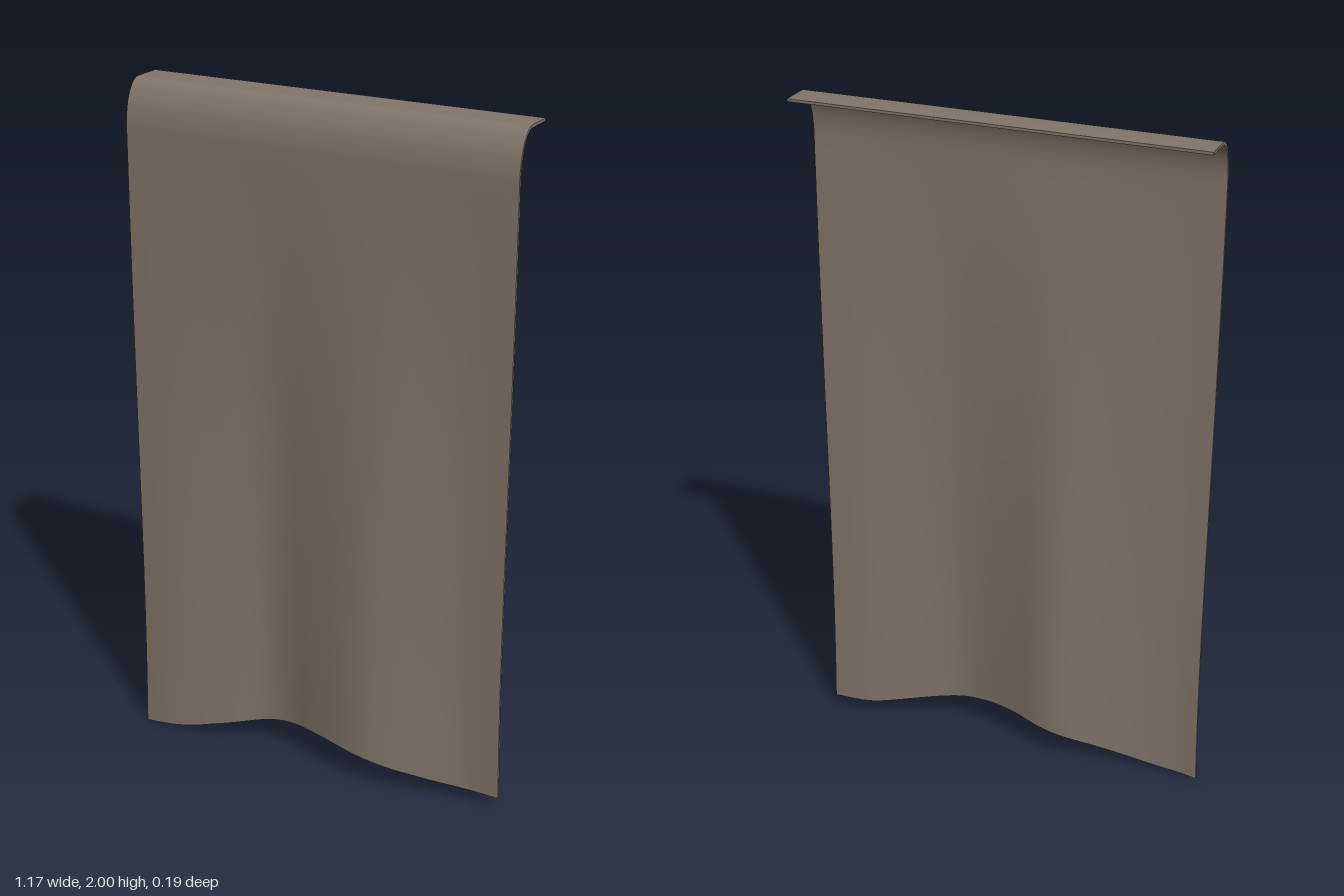
import * as THREE from 'three';
import { toCreasedNormals } from 'three/addons/utils/BufferGeometryUtils.js';

const COLS = 56, DROP_ROWS = 28, BEND_ROWS = 12;
const HALF_WIDTH = 0.585, HALF_THICK = 0.004;
const FRONT_Z = 0.051, TOP_Y = 1.996, BEND_Y = 1.87;

// Smooth function through a few [x, value] points
function spline(points) {
  const curve = new THREE.CatmullRomCurve3(points.map(([x, v]) => new THREE.Vector3(x, v, 0)));
  const samples = curve.getPoints(300);
  return (x) => {
    let i = 1;
    while (i < samples.length - 1 && samples[i].x < x) i++;
    const a = samples[i - 1], b = samples[i];
    return THREE.MathUtils.lerp(a.y, b.y, THREE.MathUtils.clamp((x - a.x) / (b.x - a.x), 0, 1));
  };
}

// Depth of the folds and height of the cloth along its lower hem
const hemDepth = spline([[-0.585, 0.073], [-0.52, 0.075], [-0.42, 0.066], [-0.3, 0.043], [-0.17, 0.012],
  [-0.1, 0.017], [0, 0.05], [0.1, 0.077], [0.18, 0.086], [0.26, 0.076], [0.35, 0.052], [0.47, 0.02], [0.585, 0.015]]);
const hemHeight = spline([[-0.585, 0.004], [-0.45, 0.021], [-0.33, 0.05], [-0.15, 0.094],
  [0.02, 0.112], [0.15, 0.102], [0.3, 0.075], [0.45, 0.05], [0.585, 0.045]]);

// Side profile: flat top flap, rounded bend, then the hanging drop
function buildProfile() {
  const rows = [{ z: -0.096, y: TOP_Y, ny: 1, nz: 0, t: 0 }, { z: -0.05, y: TOP_Y, ny: 1, nz: 0, t: 0 }];
  const rz = 0.063, ry = TOP_Y - BEND_Y;
  for (let i = 0; i <= BEND_ROWS; i++) {
    const a = (i / BEND_ROWS) * Math.PI / 2;
    const n = new THREE.Vector2(Math.sin(a) / rz, Math.cos(a) / ry).normalize();
    rows.push({ z: FRONT_Z - rz + rz * Math.sin(a), y: BEND_Y + ry * Math.cos(a), ny: n.y, nz: n.x, t: 0 });
  }
  for (let i = 1; i <= DROP_ROWS; i++) rows.push({ z: FRONT_Z, y: BEND_Y, ny: 0, nz: 1, t: i / DROP_ROWS });
  return rows;
}

function clothGeometry() {
  const rows = buildProfile(), ring = 2 * (COLS + 1);
  const pos = [], index = [];
  const quad = (a, b, c, d) => index.push(a, b, c, a, c, d);

  // Each row is a closed loop: across the outer face, back along the inner face
  for (const r of rows) {
    for (let j = 0; j < ring; j++) {
      const outer = j <= COLS;
      const x = ((outer ? j : ring - 1 - j) / COLS * 2 - 1) * HALF_WIDTH;
      const off = outer ? HALF_THICK : -HALF_THICK;
      const narrow = 1 - 0.016 * Math.sin(Math.PI * Math.pow(r.t, 2) * 0.8);
      const y = THREE.MathUtils.lerp(r.y, hemHeight(x), r.t);
      const z = THREE.MathUtils.lerp(r.z, hemDepth(x), r.t);
      pos.push(x * narrow, y + r.ny * off, z + r.nz * off);
    }
  }
  for (let i = 0; i < rows.length - 1; i++) {
    for (let j = 0; j < ring; j++) {
      const k = (j + 1) % ring, a = i * ring, b = a + ring;
      quad(a + j, b + j, b + k, a + k);
    }
  }
  // Thin closing strips at the rear edge and the hem
  const last = (rows.length - 1) * ring;
  for (let j = 0; j < COLS; j++) {
    quad(j, j + 1, ring - 2 - j, ring - 1 - j);
    quad(last + j, last + ring - 1 - j, last + ring - 2 - j, last + j + 1);
  }
  const geo = new THREE.BufferGeometry();
  geo.setAttribute('position', new THREE.Float32BufferAttribute(pos, 3));
  geo.setIndex(index);
  return toCreasedNormals(geo, Math.PI / 3);
}

export function createModel() {
  const group = new THREE.Group();
  group.name = 'hangingCloth';
  const cloth = new THREE.Mesh(clothGeometry(), new THREE.MeshStandardMaterial({ color: 0x80766a }));
  cloth.name = 'drapedSheet';
  group.add(cloth);
  return group;
}
